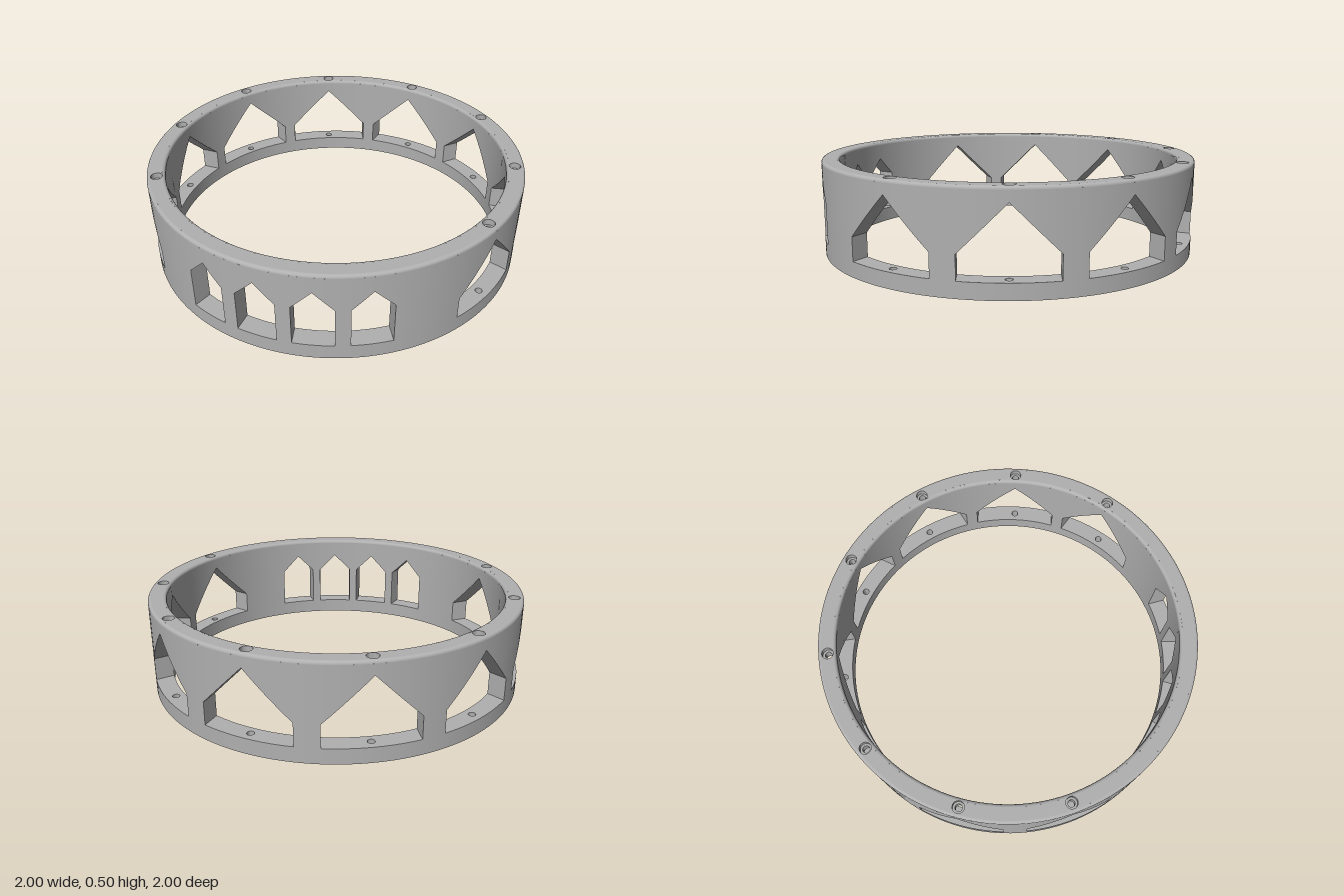
import * as THREE from 'three';
import { toCreasedNormals } from 'three/addons/utils/BufferGeometryUtils.js';

const R = 1, r = 0.905, MID = 0.95;        // outer, inner and screw-circle radii
const H = 0.5, FLOOR = 0.08, FILLET = 0.015;
const BORE = 0.018, SINK = 0.03;           // screw hole and counterbore radii
const STEPS = 10;                          // even, so the apex falls on a station
const rad = THREE.MathUtils.degToRad;

const large = { h: 0.23, apex: 0.43, screw: true };
const small = { h: 0.1, apex: 0.4, screw: false };
const windows = [
  [-163.2, large], [-129.6, large], [-96, large], [-62.4, large],
  [-23.5, small], [-7.8, small], [7.8, small], [23.5, small],
  [62.4, large], [96, large], [129.6, large], [163.2, large],
].map(([deg, type]) => ({ angle: rad(deg), ...type }));

// Points (u, z) of a window's edge along a circle of the given radius
function arc(radius, u0, u1) {
  return Array.from({ length: STEPS + 1 }, (_, i) => {
    const u = u0 + (u1 - u0) * i / STEPS;
    return new THREE.Vector2(u, Math.sqrt(radius * radius - u * u));
  });
}

function circle(x, y, radius) {
  return new THREE.Path().absarc(x, y, radius, 0, Math.PI * 2, true);
}

// Curved inner and outer walls with the openings left out
function wallGeometry() {
  const pos = [], nor = [];
  const quad = (radius, a0, a1, low, high0, high1, low1 = low) => {
    const c = [[a0, low], [a1, low1], [a1, high1], [a0, high0]];
    const order = radius === R ? [0, 1, 2, 0, 2, 3] : [0, 2, 1, 0, 3, 2];
    const s = radius === R ? 1 : -1;
    for (const k of order) {
      const [a, y] = c[k];
      pos.push(radius * Math.sin(a), y, radius * Math.cos(a));
      nor.push(s * Math.sin(a), 0, s * Math.cos(a));
    }
  };
  const top = H - FILLET;
  windows.forEach((w, i) => {
    const next = windows[(i + 1) % windows.length];
    const nextAngle = next.angle + (i === windows.length - 1 ? Math.PI * 2 : 0);
    for (const radius of [R, r]) {
      // above and below the opening
      for (let k = 0; k < STEPS; k++) {
        const u0 = w.h * (2 * k / STEPS - 1), u1 = w.h * (2 * (k + 1) / STEPS - 1);
        const a0 = w.angle + Math.asin(u0 / radius), a1 = w.angle + Math.asin(u1 / radius);
        quad(radius, a0, a1, 0, FLOOR, FLOOR);
        quad(radius, a0, a1, w.apex - Math.abs(u0), top, top, w.apex - Math.abs(u1));
      }
      // pier up to the next opening
      const start = w.angle + Math.asin(w.h / radius);
      const end = nextAngle - Math.asin(next.h / radius);
      const n = Math.ceil((end - start) / rad(3));
      for (let k = 0; k < n; k++) {
        const a0 = start + (end - start) * k / n, a1 = start + (end - start) * (k + 1) / n;
        quad(radius, a0, a1, 0, top, top);
      }
    }
  });
  const g = new THREE.BufferGeometry();
  g.setAttribute('position', new THREE.Float32BufferAttribute(pos, 3));
  g.setAttribute('normal', new THREE.Float32BufferAttribute(nor, 3));
  return g;
}

// Flat ring with screw holes, drawn in (x, z) and facing down
function ringGeometry(inner, outer, hole) {
  const shape = new THREE.Shape().absarc(0, 0, outer, 0, Math.PI * 2, false);
  shape.holes.push(circle(0, 0, inner));
  for (const w of windows) if (w.screw) {
    shape.holes.push(circle(MID * Math.sin(w.angle), MID * Math.cos(w.angle), hole));
  }
  return new THREE.ShapeGeometry(shape, 120).rotateX(Math.PI / 2);
}

// Rounded upper edges of the ring
function filletGeometry(radius, inward) {
  const pts = [];
  for (let i = 0; i <= 5; i++) {
    const t = Math.PI / 2 * i / 5;
    const off = FILLET * (1 - Math.cos(t));
    pts.push(new THREE.Vector2(radius + (inward ? off : -off), H - FILLET + FILLET * Math.sin(t)));
  }
  if (inward) pts.reverse();
  return new THREE.LatheGeometry(pts, 144);
}

// Window sill, facing up
function sillGeometry(w) {
  const shape = new THREE.Shape([...arc(R, -w.h, w.h), ...arc(r, w.h, -w.h)].map(p => new THREE.Vector2(p.x, -p.y)));
  if (w.screw) shape.holes.push(circle(0, -MID, BORE));
  return new THREE.ShapeGeometry(shape, 24).rotateX(-Math.PI / 2).translate(0, FLOOR, 0);
}

// One slope of the pointed head, notched by the screw hole at the apex
function slopeGeometry(w, side) {
  const pts = [...arc(R, 0, side * w.h), ...arc(r, side * w.h, 0)];
  if (w.screw) for (let i = 0; i <= 12; i++) {
    const t = Math.PI * i / 12;
    pts.push(new THREE.Vector2(side * BORE * Math.sin(t), MID - BORE * Math.cos(t)));
  }
  const g = new THREE.ShapeGeometry(new THREE.Shape(pts)).rotateX(Math.PI / 2);
  const p = g.attributes.position;
  for (let i = 0; i < p.count; i++) p.setY(i, w.apex - Math.abs(p.getX(i)));
  g.computeVertexNormals();
  return g;
}

// Upright side of a window, facing into the opening
function jambGeometry(w, side) {
  const zo = Math.sqrt(R * R - w.h * w.h), zi = Math.sqrt(r * r - w.h * w.h);
  const height = w.apex - w.h - FLOOR;
  return new THREE.PlaneGeometry(zo - zi, height)
    .rotateY(-side * Math.PI / 2)
    .translate(side * w.h, FLOOR + height / 2, (zo + zi) / 2);
}

// Inner wall of a screw hole; the profile runs downwards so it faces inwards
function boreGeometry(profile, apex) {
  const g = new THREE.LatheGeometry(profile.map(p => new THREE.Vector2(...p)), 24);
  if (apex) {
    const p = g.attributes.position;
    for (let i = 0; i < p.count; i++) {
      if (Math.abs(p.getY(i) - apex) < 1e-4) p.setY(i, apex - Math.abs(p.getX(i)));
    }
  }
  return toCreasedNormals(g, 0.6).translate(0, 0, MID);
}

export function createModel() {
  const model = new THREE.Group();
  model.name = 'windowedRing';
  const grey = new THREE.MeshStandardMaterial({ color: 0xb0b0b0 });
  grey.name = 'grey';
  const add = (parent, name, geometry) => {
    const mesh = new THREE.Mesh(geometry, grey);
    mesh.name = name;
    parent.add(mesh);
    return mesh;
  };

  add(model, 'walls', wallGeometry());
  add(model, 'bottomFace', ringGeometry(r, R, BORE));
  const topFace = add(model, 'topFace', ringGeometry(r + FILLET, R - FILLET, SINK).scale(1, -1, 1));
  // the ring is turned over about the front-back axis; the holes are symmetric
  topFace.geometry.dispose();
  topFace.geometry = ringGeometry(r + FILLET, R - FILLET, SINK).rotateZ(Math.PI).translate(0, H, 0);
  add(model, 'outerTopEdge', filletGeometry(R, false));
  add(model, 'innerTopEdge', filletGeometry(r, true));

  for (const w of windows) {
    const group = new THREE.Group();
    group.name = w.screw ? 'largeWindow' : 'smallWindow';
    group.rotation.y = w.angle;
    model.add(group);
    add(group, 'sill', sillGeometry(w));
    for (const side of [-1, 1]) {
      add(group, 'headSlope', slopeGeometry(w, side));
      add(group, 'jamb', jambGeometry(w, side));
    }
    if (w.screw) {
      add(group, 'upperScrewHole', boreGeometry([[SINK, H], [SINK, H - 0.03], [BORE, H - 0.03], [BORE, w.apex]], w.apex));
      add(group, 'lowerScrewHole', boreGeometry([[BORE, FLOOR], [BORE, 0]]));
    }
  }
  return model;
}
